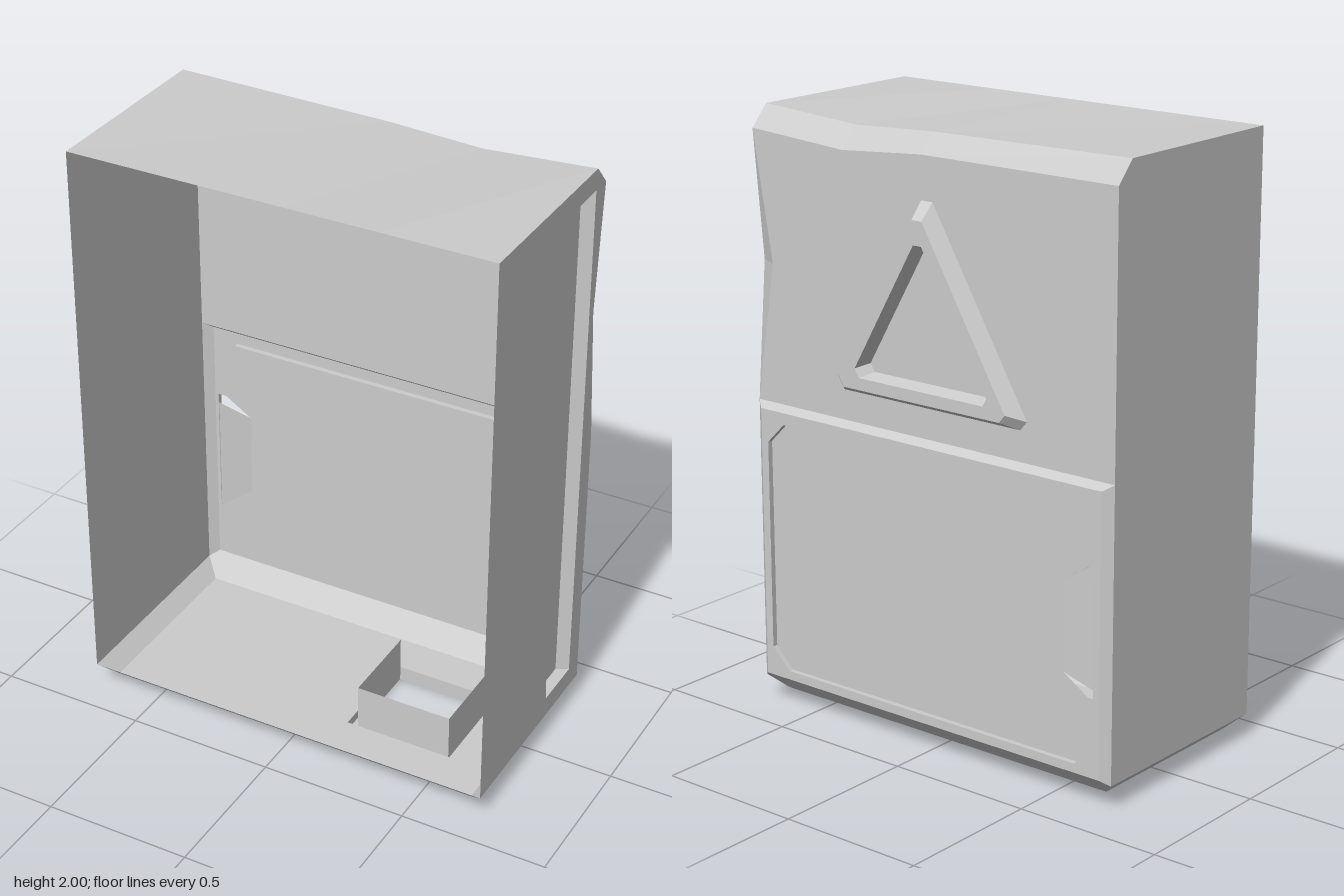
import * as THREE from 'three';

const material = new THREE.MeshStandardMaterial({ color: 0xcccccc, flatShading: true, side: THREE.DoubleSide });

function mesh(name, positions) {
  const geometry = new THREE.BufferGeometry();
  geometry.setAttribute('position', new THREE.Float32BufferAttribute(positions, 3));
  geometry.computeVertexNormals();
  const m = new THREE.Mesh(geometry, material);
  m.name = name;
  return m;
}

// Flat plate with optional holes; map turns (a, b) into [x, y, z]
function plate(name, outline, holes, map) {
  const toV = (l) => l.map(([a, b]) => new THREE.Vector2(a, b));
  const contour = toV(outline);
  const inner = holes.map(toV);
  if (THREE.ShapeUtils.isClockWise(contour)) contour.reverse();
  inner.forEach((h) => { if (!THREE.ShapeUtils.isClockWise(h)) h.reverse(); });
  const all = [contour, ...inner].flat();
  const out = [];
  for (const tri of THREE.ShapeUtils.triangulateShape(contour, inner)) {
    for (const i of tri) out.push(...map(all[i].x, all[i].y));
  }
  return mesh(name, out);
}

// Strips of quads joining successive loops of [x, y, z] points
function loft(name, loops, closed = true) {
  const out = [];
  for (let k = 0; k + 1 < loops.length; k++) {
    const A = loops[k], B = loops[k + 1], n = A.length;
    for (let i = 0; i < (closed ? n : n - 1); i++) {
      const j = (i + 1) % n;
      out.push(...A[i], ...A[j], ...B[j], ...A[i], ...B[j], ...B[i]);
    }
  }
  return mesh(name, out);
}

const rect = (a0, b0, a1, b1) => [[a0, b0], [a0, b1], [a1, b1], [a1, b0]];
const atX = (x) => (z, y) => [x, y, z];
const atY = (y) => (x, z) => [x, y, z];
const atZ = (z) => (x, y) => [x, y, z];
const lift = (pts, map) => pts.map(([a, b]) => map(a, b));

export function createModel() {
  const group = new THREE.Group();
  const W = 0.72, F = 0.39, B = -0.34;

  // Top sheet with its worn chamfer
  const xs = [-W, 0.02, 0.34, W], crest = [2, 1.99, 1.975, 2], brow = [1.93, 1.93, 1.905, 1.93];
  group.add(loft('top', [
    xs.map((x) => [x, 2, F]),
    xs.map((x, i) => [x, crest[i], -0.275]),
    xs.map((x, i) => [x, brow[i], B]),
  ], false));

  // Plain side wall
  group.add(plate('rightWall', [[F, 0.08], [F, 2], [-0.275, 2], [B, 1.93], [B, 0.08]], [], atX(-W)));

  // Side wall with the long wavy groove
  const wave = [[-0.06, 1.93], [-0.075, 1.5], [-0.1, 1.03], [-0.1, 0.8], [-0.07, 0.4], [-0.09, 0.15]];
  const grooveRim = [...wave, ...wave.map(([, y]) => [-0.27, y]).reverse()];
  const grooveFloor = [...wave.map(([z, y]) => [z - 0.05, y]), ...wave.map(([, y]) => [-0.25, y]).reverse()];
  group.add(plate('leftWall', [[F, 0.08], [F, 2], [-0.275, 2], [B, 1.93], [-0.3, 1.5], [B, 1.04], [B, 0.08]],
    [grooveRim], atX(W)));
  group.add(loft('grooveWalls', [lift(grooveRim, atX(W)), lift(grooveFloor, atX(0.68))]));
  group.add(plate('grooveFloor', grooveFloor, [], atX(0.68)));

  // Upper back sheet and the dent on its edge
  const back = [...xs.map((x, i) => [x, brow[i]]), [0.645, 1.5], [W, 1.04], [-W, 1.04]];
  group.add(plate('upperBack', back, [], atZ(B)));
  group.add(mesh('edgeDent', [
    W, 1.93, B, W, 1.5, -0.3, 0.645, 1.5, B,
    0.645, 1.5, B, W, 1.5, -0.3, W, 1.04, B,
  ]));

  // Door: bevelled frame, recessed cut-corner panel
  const zFrame = -0.365, zPanel = -0.347, c = 0.07;
  const frameOuter = rect(-W, 0.08, W, 1.04), frameFace = rect(-0.69, 0.1, 0.69, 1.02);
  const cutRect = (x0, y0, x1, y1) => [
    [x0 + c, y0], [x0, y0 + c], [x0, y1 - c], [x0 + c, y1],
    [x1 - c, y1], [x1, y1 - c], [x1, y0 + c], [x1 - c, y0],
  ];
  const panel = cutRect(-0.667, 0.13, 0.662, 0.98);
  group.add(loft('doorBevel', [lift(frameOuter, atZ(B)), lift(frameFace, atZ(zFrame))]));
  group.add(plate('doorFrame', frameFace, [panel], atZ(zFrame)));
  group.add(loft('doorRecess', [lift(panel, atZ(zFrame)), lift(panel, atZ(zPanel))]));

  // Panel with the finger notch cut into its edge
  const notch = [[-0.667, 0.35], [-0.635, 0.35], [-0.54, 0.41], [-0.54, 0.71], [-0.635, 0.77], [-0.667, 0.77]];
  group.add(plate('doorPanel', [...panel.slice(0, 2), ...notch, ...panel.slice(2)], [], atZ(zPanel)));
  group.add(loft('fingerNotch', [
    [[-0.667, 0.35, zPanel], [-0.635, 0.35, -0.3], [-0.54, 0.41, zPanel]],
    [[-0.667, 0.77, zPanel], [-0.635, 0.77, -0.3], [-0.54, 0.71, zPanel]],
  ], false));

  // Raised triangular ring
  const tri = [[-0.025, 1.79], [0.02, 1.79], [0.37, 1.18], [0.345, 1.14], [-0.365, 1.14], [-0.39, 1.17]];
  const ring = (s, z) => tri.map(([x, y]) => [-0.01 + (x + 0.01) * s, 1.36 + (y - 1.36) * s, z]);
  group.add(loft('triangleRing', [ring(1, B), ring(0.88, -0.39), ring(0.7, -0.39), ring(0.64, B)]));

  // Chamfered base with the socket opening
  const base = rect(-0.665, -0.29, 0.665, 0.34);
  const lip = rect(0.14, -0.15, 0.525, 0.2), mouth = rect(0.165, -0.125, 0.5, 0.175);
  group.add(loft('baseChamfer', [lift(rect(-W, B, W, F), atY(0.08)), lift(base, atY(0.03))]));
  group.add(plate('base', base, [lip], atY(0.03)));
  group.add(loft('socketLip', [lift(lip, atY(0.03)), lift(lip, atY(0)), lift(mouth, atY(0)), lift(mouth, atY(0.03))]));
  // Socket walls, open at the top and towards the back
  group.add(loft('socketWalls', [lift(mouth, atY(0.03)), lift(mouth, atY(0.165))], false));

  return group;
}
